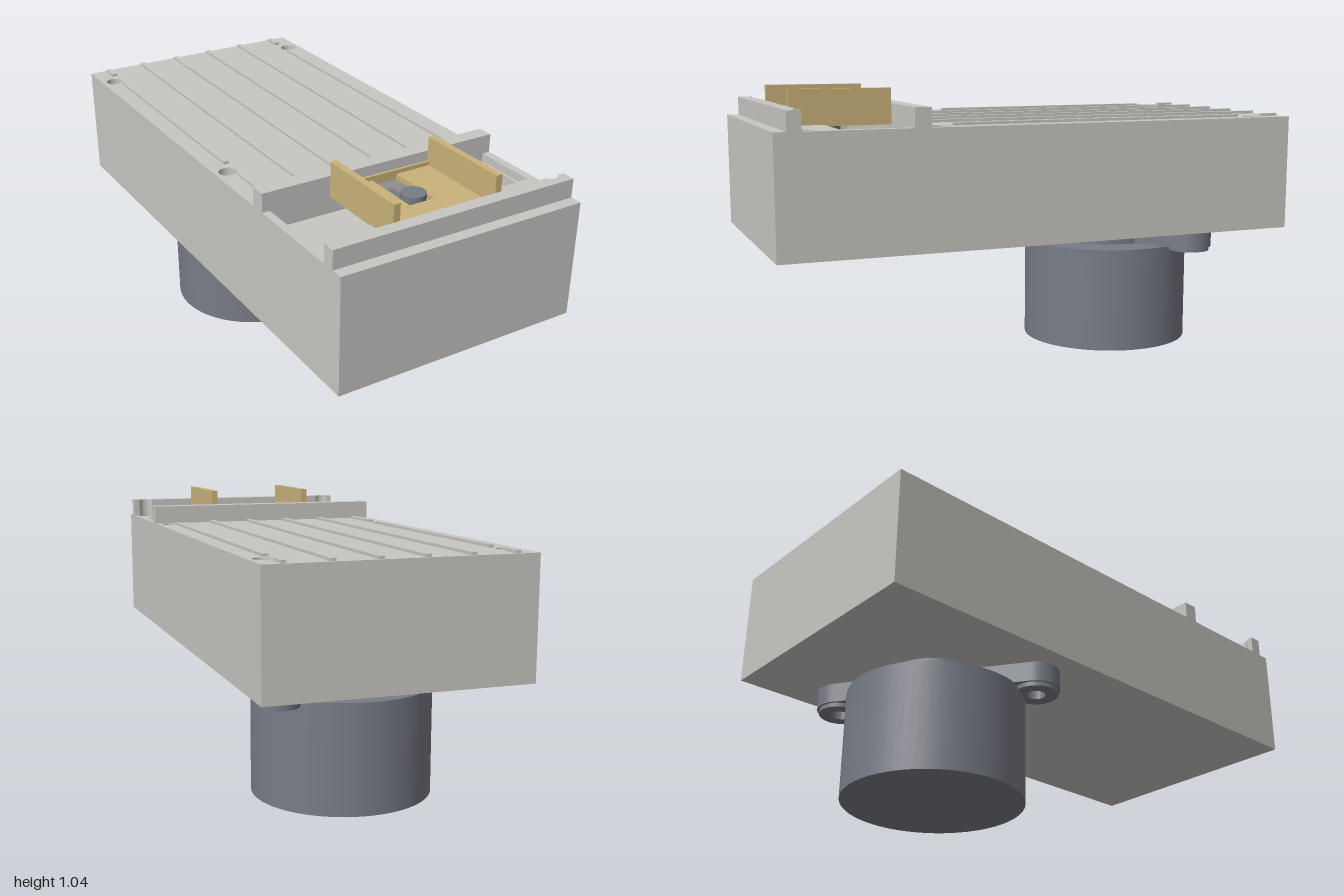
import * as THREE from 'three';

export function createModel() {
  const model = new THREE.Group();
  const grey = new THREE.MeshStandardMaterial({ name: 'casing grey', color: 0xc8c6c2 });
  const gold = new THREE.MeshStandardMaterial({ name: 'slider gold', color: 0xc9b27a });
  const slate = new THREE.MeshStandardMaterial({ name: 'motor slate', color: 0x787c86 });

  const add = (name, geometry, material) => {
    const mesh = new THREE.Mesh(geometry, material);
    mesh.name = name;
    model.add(mesh);
    return mesh;
  };
  // Box given by its limits on each axis
  const block = (name, x0, x1, y0, y1, z0, z1, material) =>
    add(name, new THREE.BoxGeometry(x1 - x0, y1 - y0, z1 - z0)
      .translate((x0 + x1) / 2, (y0 + y1) / 2, (z0 + z1) / 2), material);
  const cylinder = (name, r, y0, y1, x, z, material) =>
    add(name, new THREE.CylinderGeometry(r, r, y1 - y0, 64)
      .translate(x, (y0 + y1) / 2, z), material);
  // Plan outline (x, -z) raised from y0 to y1
  const slab = (name, shape, y0, y1, material) =>
    add(name, new THREE.ExtrudeGeometry(shape, { depth: y1 - y0, bevelEnabled: false, curveSegments: 24 })
      .rotateX(-Math.PI / 2).translate(0, y0, 0), material);
  const rect = (x0, x1, z0, z1) => new THREE.Shape([
    [x0, -z1], [x1, -z1], [x1, -z0], [x0, -z0],
  ].map(([x, y]) => new THREE.Vector2(x, y)));
  const circle = (x, z, r) => new THREE.Path().absarc(x, -z, r, 0, Math.PI * 2, true);

  // Casing: solid base and a top plate with screw holes and a pocket
  const screws = [[-0.425, -0.86], [0.425, -0.86], [-0.425, 0.18], [0.425, 0.41], [-0.425, 0.888], [0.425, 0.888]];
  block('casingBase', -0.475, 0.475, 0.475, 0.81, -1, 1, grey);
  const plate = rect(-0.475, 0.475, -1, 1);
  screws.forEach(([x, z]) => plate.holes.push(circle(x, z, 0.033)));
  plate.holes.push(rect(-0.445, 0.445, 0.52, 0.77));
  slab('casingTop', plate, 0.81, 0.91, grey);
  block('pocketFloor', -0.445, 0.445, 0.81, 0.84, 0.52, 0.77, grey);
  for (const s of [-1, 1]) {
    const x = s * 0.44;
    block('pocketStep', x - 0.005, x + 0.005, 0.84, 0.88, 0.52, 0.77, grey);
  }
  // Narrow sleeves lining the screw holes
  screws.forEach(([x, z]) => {
    const ring = new THREE.Shape().absarc(x, -z, 0.033, 0, Math.PI * 2, false);
    ring.holes.push(circle(x, z, 0.026));
    slab('screwSeat', ring, 0.81, 0.86, grey);
  });

  // Long ribs, interrupted beside the screw holes
  const ribs = [
    [-0.4, -0.99, -0.92], [-0.4, -0.81, 0.12], [-0.4, 0.23, 0.44],
    [0.4, -0.99, -0.92], [0.4, -0.81, 0.36],
    ...[-0.24, -0.08, 0.08, 0.24].map((x) => [x, -0.99, 0.44]),
  ];
  ribs.forEach(([x, z0, z1]) => block('topRib', x - 0.01, x + 0.01, 0.91, 0.92, z0, z1, grey));

  // Cross rails; the front one is notched by the screw holes
  block('rearRail', -0.475, 0.475, 0.91, 0.98, 0.46, 0.52, grey);
  const rail = new THREE.Shape();
  rail.moveTo(-0.475, -0.955).lineTo(0.475, -0.955).lineTo(0.475, -0.905);
  for (const x of [0.425, -0.425]) {
    rail.lineTo(x + 0.028, -0.905);
    rail.absarc(x, -0.888, 0.033, -0.546, -2.596, true);
  }
  rail.lineTo(-0.475, -0.905);
  slab('frontRail', rail, 0.91, 0.98, grey);

  // Slider with side walls, low lips and a slot for the crank
  const floor = rect(-0.19, 0.19, 0.525, 0.895);
  floor.holes.push(rect(-0.05, 0.05, 0.535, 0.755));
  slab('sliderFloor', floor, 0.91, 0.93, gold);
  for (const s of [-1, 1]) {
    const x = s * 0.2025;
    block('sliderWall', x - 0.0125, x + 0.0125, 0.905, 1.036, 0.525, 0.895, gold);
  }
  block('sliderRearLip', -0.19, 0.19, 0.93, 0.945, 0.525, 0.535, gold);
  block('sliderFrontLip', -0.19, 0.19, 0.93, 0.945, 0.885, 0.895, gold);
  block('crankArm', -0.05, 0.05, 0.84, 0.87, 0.52, 0.755, slate);
  cylinder('crankPin', 0.045, 0.87, 0.945, 0, 0.705, slate);

  // Motor hanging below, with two diagonal mounting ears
  const mz = -0.45;
  cylinder('motorBody', 0.33, 0, 0.4, 0, mz, slate);
  cylinder('motorCollar', 0.205, 0.4, 0.475, 0, mz, slate);
  for (const s of [-1, 1]) {
    // Ear drawn along local x, then turned to its diagonal
    const ear = new THREE.Shape();
    ear.moveTo(0, -0.088).lineTo(0.378, -0.088);
    ear.absarc(0.378, 0, 0.088, -Math.PI / 2, Math.PI / 2, false);
    ear.lineTo(0, 0.088);
    ear.holes.push(circle(0.378, 0, 0.035));
    const boss = new THREE.Shape().absarc(0.378, 0, 0.08, 0, Math.PI * 2, false);
    boss.holes.push(circle(0.378, 0, 0.035));
    for (const mesh of [slab('motorEar', ear, 0.4, 0.475, slate), slab('earBoss', boss, 0.384, 0.4, slate)]) {
      mesh.position.z = mz;
      mesh.rotation.y = Math.atan2(0.21 * s, 0.315 * s);
    }
  }
  return model;
}
